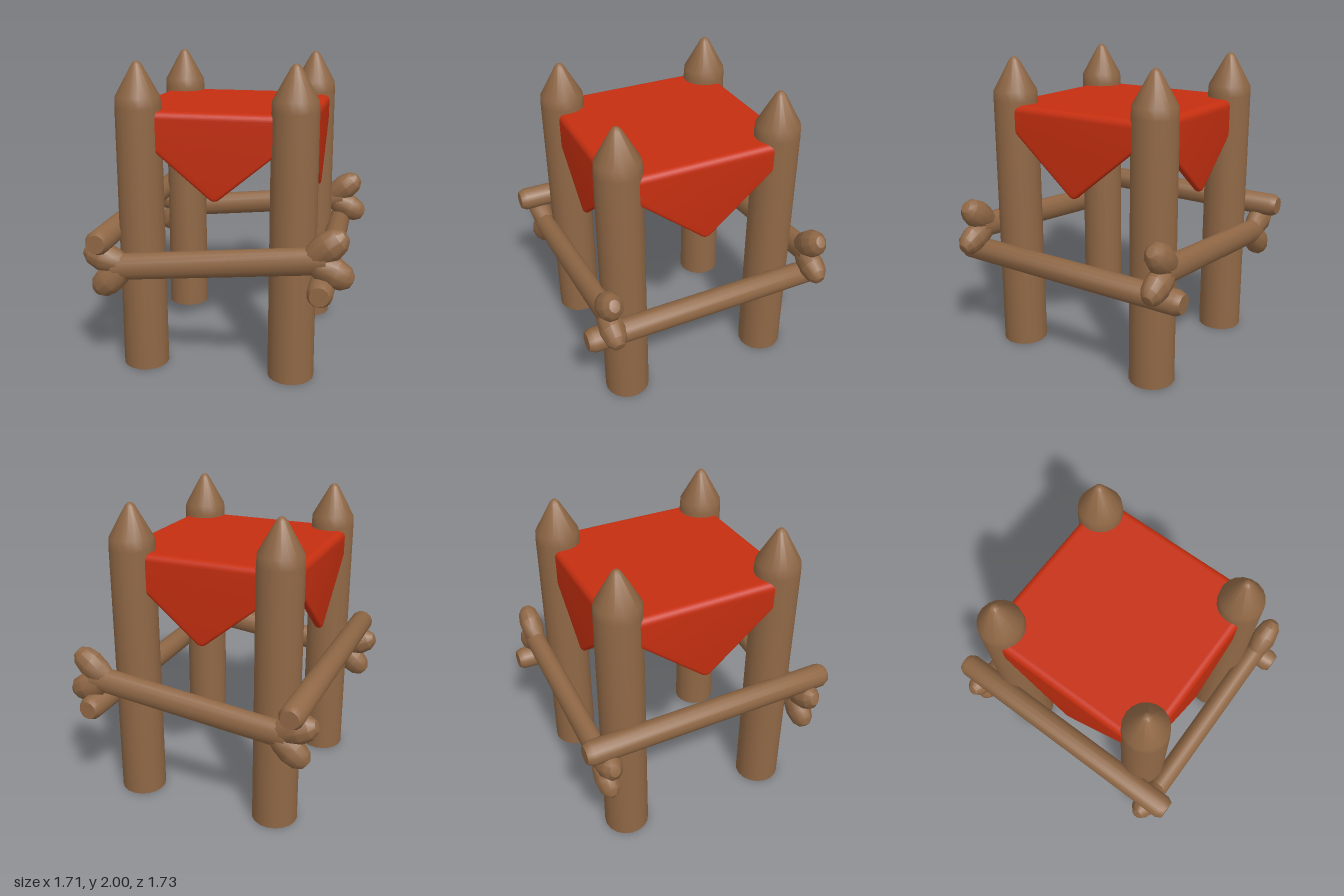
import * as THREE from 'three';
import { toCreasedNormals } from 'three/addons/utils/BufferGeometryUtils.js';
import { RoundedBoxGeometry } from 'three/addons/geometries/RoundedBoxGeometry.js';

const wood = new THREE.MeshStandardMaterial({ color: 0x8f6745, side: THREE.DoubleSide });
wood.name = 'wood';
const cloth = new THREE.MeshStandardMaterial({ color: 0xc62f10 });
cloth.name = 'red cloth';

const CX = -0.035; // centre of the posts and canopy

function lathe(profile, sides) {
  const pts = profile.map(([r, y]) => new THREE.Vector2(r, y));
  return toCreasedNormals(new THREE.LatheGeometry(pts, sides), 0.65);
}

function add(parent, name, geometry, material) {
  const mesh = new THREE.Mesh(geometry, material);
  mesh.name = name;
  parent.add(mesh);
  return mesh;
}

// Turns a y-axis geometry so that it starts at a and points towards b
function aim(mesh, a, b) {
  const dir = new THREE.Vector3(b[0] - a[0], b[1] - a[1], 0).normalize();
  mesh.position.set(a[0], a[1], 0);
  mesh.quaternion.setFromUnitVectors(new THREE.Vector3(0, 1, 0), dir);
}

// Tilted bone-shaped rail with two knuckles at each end
function createBone() {
  const bone = new THREE.Group();
  bone.name = 'boneRail';
  const a = [-0.66, 0.727], b = [0.68, 0.867];
  const length = Math.hypot(b[0] - a[0], b[1] - a[1]);
  const shaft = add(bone, 'boneShaft', lathe([[0.086, 0], [0.086, length]], 14), wood);
  aim(shaft, a, b);
  shaft.scale.z = 0.8;

  const knuckle = lathe([[0, -0.06], [0.07, -0.04], [0.088, 0.02], [0.096, 0.1],
    [0.078, 0.175], [0.04, 0.215], [0, 0.222]], 10);
  const ends = [
    [[0.62, 0.90], [0.80, 1.04]],
    [[0.64, 0.835], [0.82, 0.75]],
    [[-0.62, 0.70], [-0.78, 0.56]],
    [[-0.64, 0.76], [-0.83, 0.83]],
  ];
  for (const [from, to] of ends) {
    const lobe = add(bone, 'boneKnuckle', knuckle, wood);
    aim(lobe, from, to);
    lobe.scale.z = 0.85;
  }
  return bone;
}

// Cloth top with a pointed flap hanging from every side
function createCanopy() {
  const canopy = new THREE.Group();
  canopy.name = 'canopy';
  canopy.position.x = CX;
  const top = add(canopy, 'canopyTop', new RoundedBoxGeometry(1.21, 0.1, 1.21, 4, 0.045), cloth);
  top.position.y = 1.653;

  const shape = new THREE.Shape();
  shape.moveTo(-0.565, 1.66);
  shape.lineTo(-0.565, 1.635);
  shape.lineTo(-0.025, 1.185);
  shape.quadraticCurveTo(0, 1.16, 0.025, 1.185);
  shape.lineTo(0.565, 1.635);
  shape.lineTo(0.565, 1.66);
  shape.closePath();
  const flapGeometry = toCreasedNormals(new THREE.ExtrudeGeometry(shape, {
    depth: 0.01, bevelSize: 0.02, bevelThickness: 0.02, bevelSegments: 3, curveSegments: 6,
  }), 0.65);
  flapGeometry.translate(0, 0, 0.605 - 0.03);
  for (let i = 0; i < 4; i++) {
    add(canopy, 'canopyFlap', flapGeometry, cloth).rotation.y = i * Math.PI / 2;
  }
  return canopy;
}

export function createModel() {
  const model = new THREE.Group();
  model.name = 'canopyStand';

  // Four sharpened posts, hollow at the foot
  const post = lathe([[0.15, 0], [0.145, 1.72], [0.141, 1.785], [0.032, 1.98], [0.016, 1.997], [0, 2]], 18);
  for (const x of [-0.49, 0.49]) {
    for (const z of [-0.535, 0.535]) {
      add(model, 'post', post, wood).position.set(CX + x, 0, z);
    }
  }

  model.add(createCanopy());

  // Bone rails on the front and back
  for (const z of [-0.725, 0.72]) {
    const bone = createBone();
    bone.position.z = z;
    model.add(bone);
  }

  // Straight logs along the sides
  const log = lathe([[0, -0.866], [0.06, -0.866], [0.079, -0.83],
    [0.079, 0.83], [0.06, 0.866], [0, 0.866]], 14);
  log.rotateX(Math.PI / 2);
  add(model, 'rightSideLog', log, wood).position.set(-0.715, 0.917, 0);
  add(model, 'leftSideLog', log, wood).position.set(0.655, 0.69, 0);

  return model;
}
